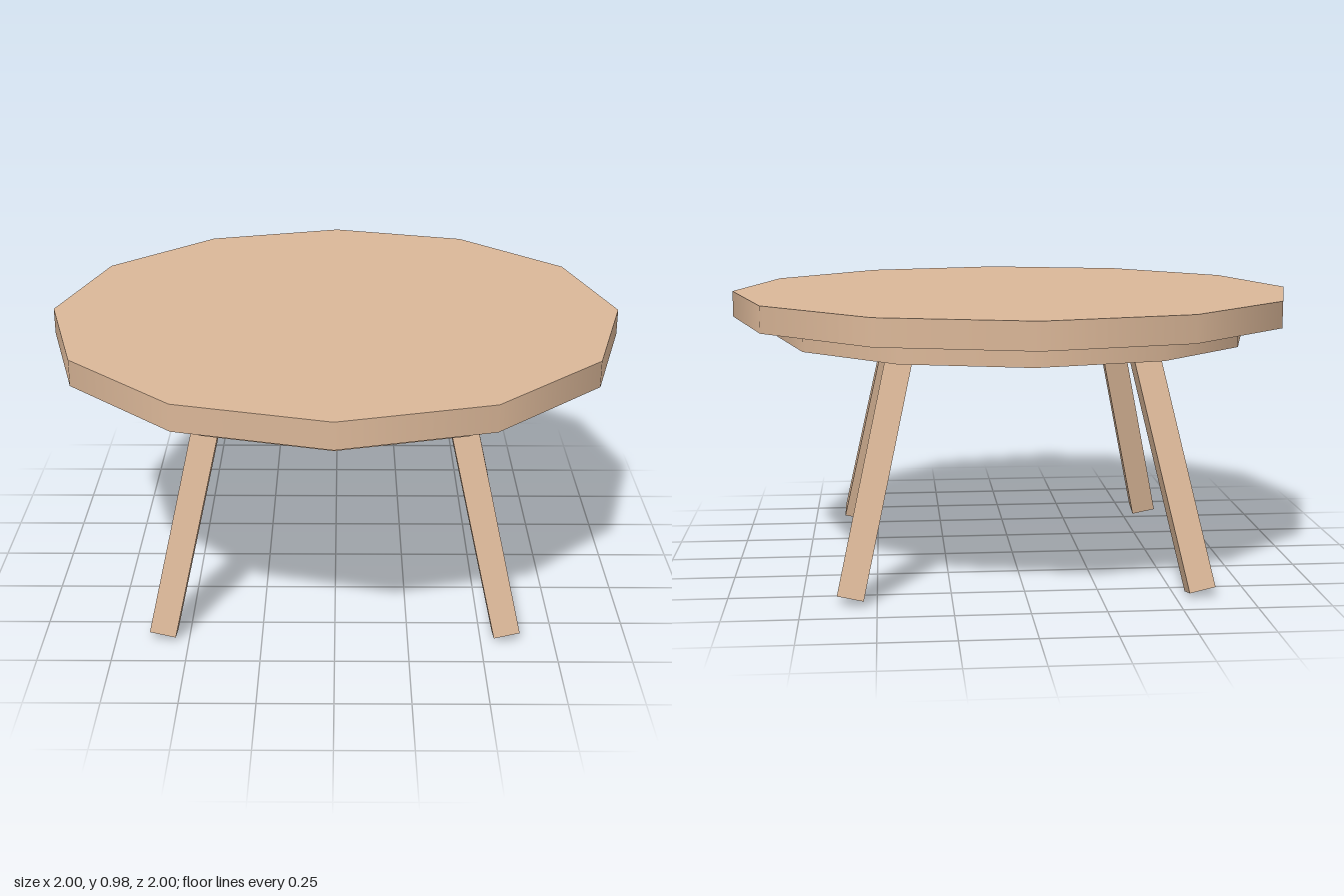
import * as THREE from 'three';

export function createModel() {
  const group = new THREE.Group();
  const wood = new THREE.MeshStandardMaterial({ color: 0xdcb899 });
  wood.name = 'light wood';

  const add = (name, geometry) => {
    const mesh = new THREE.Mesh(geometry, wood);
    mesh.name = name;
    group.add(mesh);
    return mesh;
  };

  // Twelve-sided disc with smooth rim, between two heights
  const disc = (name, radius, bottom, top) => {
    add(name, new THREE.CylinderGeometry(radius, radius, top - bottom, 12)).position.y = (bottom + top) / 2;
  };
  disc('tableTop', 1, 0.896, 0.987);
  disc('apron', 0.848, 0.824, 0.896);

  // Four square legs splayed outwards on both axes, tops sunk into the apron
  const length = 0.9, tilt = 0.215;
  const legGeometry = new THREE.BoxGeometry(0.09, length, 0.09).translate(0, length / 2, 0);
  for (const [side, sx] of [['Left', 1], ['Right', -1]]) {
    for (const [end, sz] of [['front', 1], ['back', -1]]) {
      const leg = add(`${end}${side}Leg`, legGeometry);
      leg.position.set(0.588 * sx, 0.022, 0.588 * sz);
      leg.rotation.set(-tilt * sz, 0, tilt * sx);
    }
  }
  return group;
}
